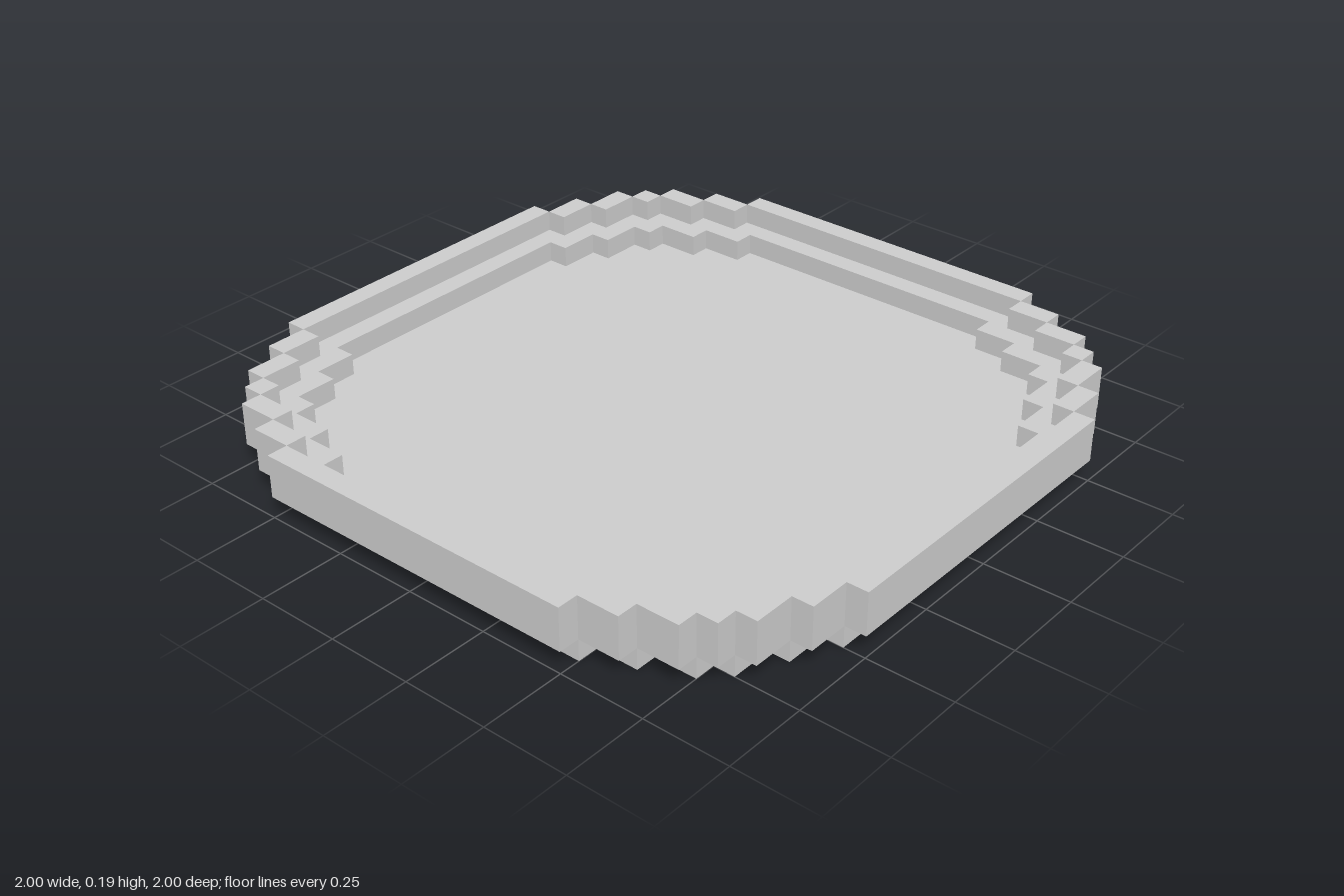
import * as THREE from 'three';

const U = 1 / 16; // one block

// Stepped outline from one quadrant's corner points (in blocks), turned four times
function outline(quadrant, PathType) {
  const points = [];
  for (let turn = 0; turn < 4; turn++) {
    for (const [a, b] of quadrant) {
      const [x, y] = [[a, b], [-b, a], [-a, -b], [b, -a]][turn];
      points.push(new THREE.Vector2(x * U, y * U));
    }
  }
  return new PathType(points);
}

// Flat layer standing on height y (in blocks), one block thick
function layer(shape, y) {
  const geometry = new THREE.ExtrudeGeometry(shape, { depth: U, bevelEnabled: false });
  geometry.rotateX(-Math.PI / 2);
  geometry.translate(0, y * U, 0);
  return geometry;
}

export function createModel() {
  const model = new THREE.Group();
  model.name = 'roundBlockTray';
  const material = new THREE.MeshStandardMaterial({ color: 0xcccccc, flatShading: true });

  const add = (parent, name, geometry) => {
    const mesh = new THREE.Mesh(geometry, material);
    mesh.name = name;
    parent.add(mesh);
    return mesh;
  };

  const body = [[15, 8], [14, 8], [14, 10], [13, 10], [13, 12], [12, 12],
    [12, 13], [10, 13], [10, 14], [8, 14], [8, 15]];
  const well = [[14, 7], [13, 7], [13, 9], [12, 9], [12, 11], [11, 11],
    [11, 12], [9, 12], [9, 13], [7, 13], [7, 14]];

  // Floor plate
  add(model, 'floor', layer(outline(body, THREE.Shape), 0));

  // Inner ledge around the sunken floor
  const ledge = outline(body, THREE.Shape);
  ledge.holes.push(outline(well, THREE.Path));
  add(model, 'ledge', layer(ledge, 1));

  // Raised rim: one long bar and a staircase of blocks per quarter [x0, x1, z0, z1]
  const rimBlocks = [[-8, 8, 15, 16], [8, 10, 14, 15], [10, 12, 13, 14],
    [12, 13, 12, 13], [13, 14, 10, 12], [14, 15, 8, 10]];
  for (let turn = 0; turn < 4; turn++) {
    const quarter = new THREE.Group();
    quarter.name = 'rimQuarter';
    quarter.rotation.y = turn * Math.PI / 2;
    for (const [x0, x1, z0, z1] of rimBlocks) {
      const block = add(quarter, 'rimBlock',
        new THREE.BoxGeometry((x1 - x0) * U, 2 * U, (z1 - z0) * U));
      block.position.set((x0 + x1) / 2 * U, 2 * U, (z0 + z1) / 2 * U);
    }
    model.add(quarter);
  }
  return model;
}
